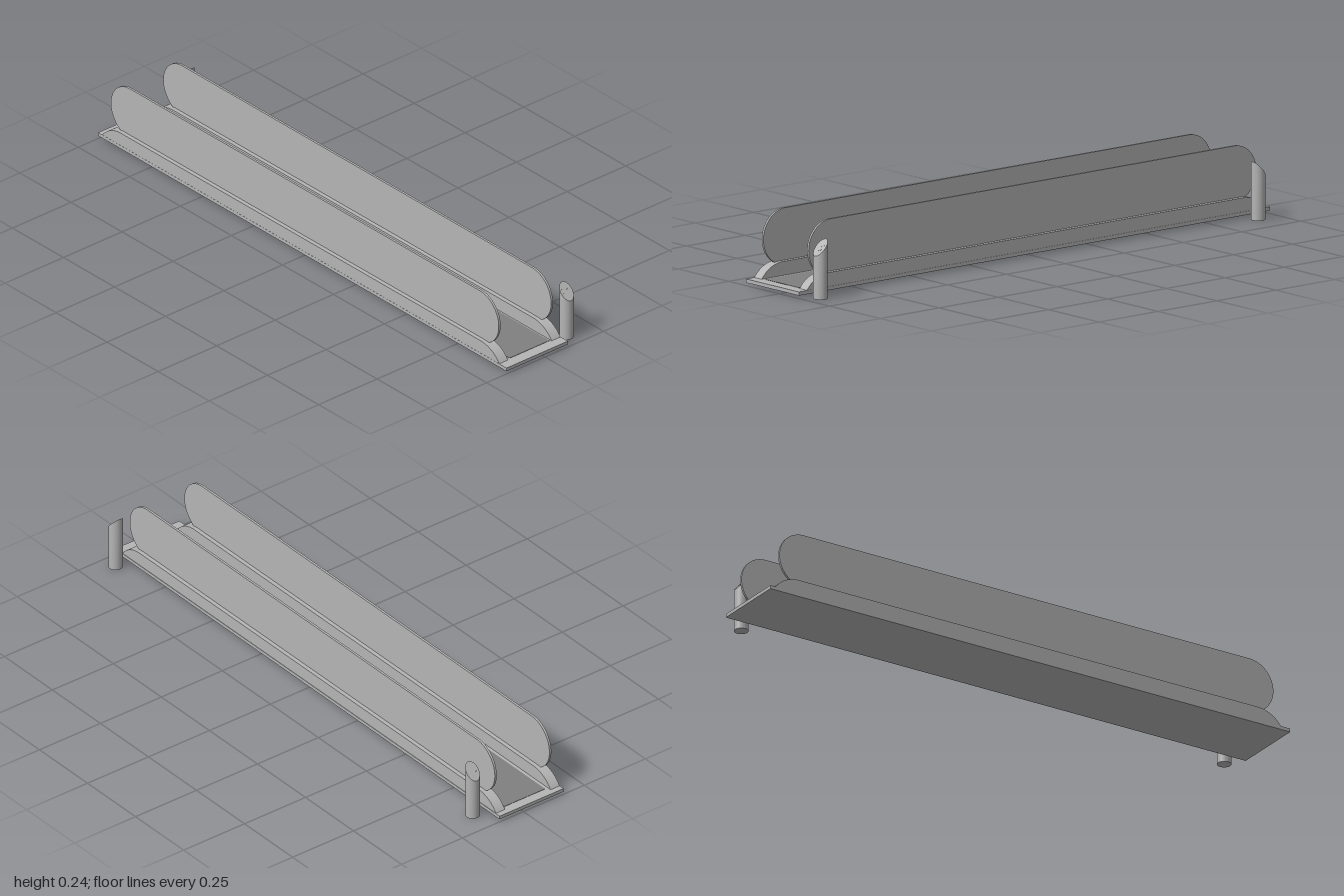
import * as THREE from 'three';

const MID_X = -0.0075;

function addMesh(parent, name, geometry, material, x = 0, y = 0, z = 0) {
  const mesh = new THREE.Mesh(geometry, material);
  mesh.name = name;
  mesh.position.set(x, y, z);
  parent.add(mesh);
  return mesh;
}

// Extrude an x-y outline symmetrically about z = 0
function slab(shape, depth) {
  const g = new THREE.ExtrudeGeometry(shape, { depth, bevelEnabled: false, curveSegments: 16 });
  return g.translate(0, 0, -depth / 2);
}

// Long low plinth whose ends curve down to the floor plate
function skirtShape() {
  const s = new THREE.Shape();
  const half = 0.972, flat = 0.888, h = 0.046;
  s.moveTo(-half, 0);
  s.lineTo(half, 0);
  s.quadraticCurveTo(half - 0.03, h * 0.9, flat, h);
  s.lineTo(-flat, h);
  s.quadraticCurveTo(-half + 0.03, h * 0.9, -half, 0);
  return s;
}

// Balustrade outline: circular ends cut off where they meet the plinth
function panelShape() {
  const s = new THREE.Shape();
  const r = 0.093, cx = 0.857, cy = 0.147, low = 0.066;
  const a = Math.asin((low - cy) / r);
  s.moveTo(-cx - r * Math.cos(a), low);
  s.lineTo(cx + r * Math.cos(a), low);
  s.absarc(cx, cy, r, a, Math.PI / 2, false);
  s.lineTo(-cx, cy + r);
  s.absarc(-cx, cy, r, Math.PI / 2, Math.PI - a, false);
  return s;
}

// Round post with a sloping top that faces outwards along x
function postGeometry(side) {
  const g = new THREE.CylinderGeometry(0.0235, 0.0235, 1, 32);
  const p = g.attributes.position;
  for (let i = 0; i < p.count; i++) {
    const top = p.getY(i) > 0;
    p.setY(i, top ? 0.168 - side * p.getX(i) * 1.08 : 0);
  }
  g.computeVertexNormals();
  return g;
}

export function createModel() {
  const model = new THREE.Group();
  model.name = 'movingWalkway';
  const grey = new THREE.MeshStandardMaterial({ color: 0xb4b4b4 });
  grey.name = 'light grey metal';
  const dark = new THREE.MeshStandardMaterial({ color: 0x808080 });
  dark.name = 'dark grey tread';

  // Floor plate and moving belt
  addMesh(model, 'floorPlate', new THREE.BoxGeometry(2, 0.012, 0.263), grey, 0, 0.016, 0.0335);
  addMesh(model, 'treadBelt', new THREE.BoxGeometry(1.925, 0.002, 0.17), dark, -0.003, 0.022, 0.031);

  // Plinth and balustrade on each side
  for (const [label, z] of [['front', 0.146], ['back', -0.078]]) {
    addMesh(model, label + 'Skirt', slab(skirtShape(), 0.037), grey, MID_X, 0.022, z);
    addMesh(model, label + 'Balustrade', slab(panelShape(), 0.008), grey, -0.005, 0, z);
  }

  // Sign posts behind the two ends
  for (const [label, x, side] of [['left', 0.945, 1], ['right', -0.913, -1]]) {
    const post = new THREE.Group();
    post.name = label + 'SignPost';
    post.position.set(x, 0, -0.14);
    model.add(post);
    addMesh(post, 'post', postGeometry(side), grey);

    // Thin chevrons lying on the sloping face
    const face = new THREE.Group();
    face.name = 'directionMark';
    face.position.set(0, 0.1682, 0);
    face.rotation.z = -side * Math.atan(1.08);
    post.add(face);
    for (const dx of [-0.006, 0.009]) {
      for (const dz of [-1, 1]) {
        const bar = addMesh(face, 'chevronBar', new THREE.BoxGeometry(0.002, 0.0008, 0.018), grey,
          side * dx, 0, dz * 0.007);
        bar.rotation.y = -side * dz * 0.6;
      }
    }
  }
  return model;
}
